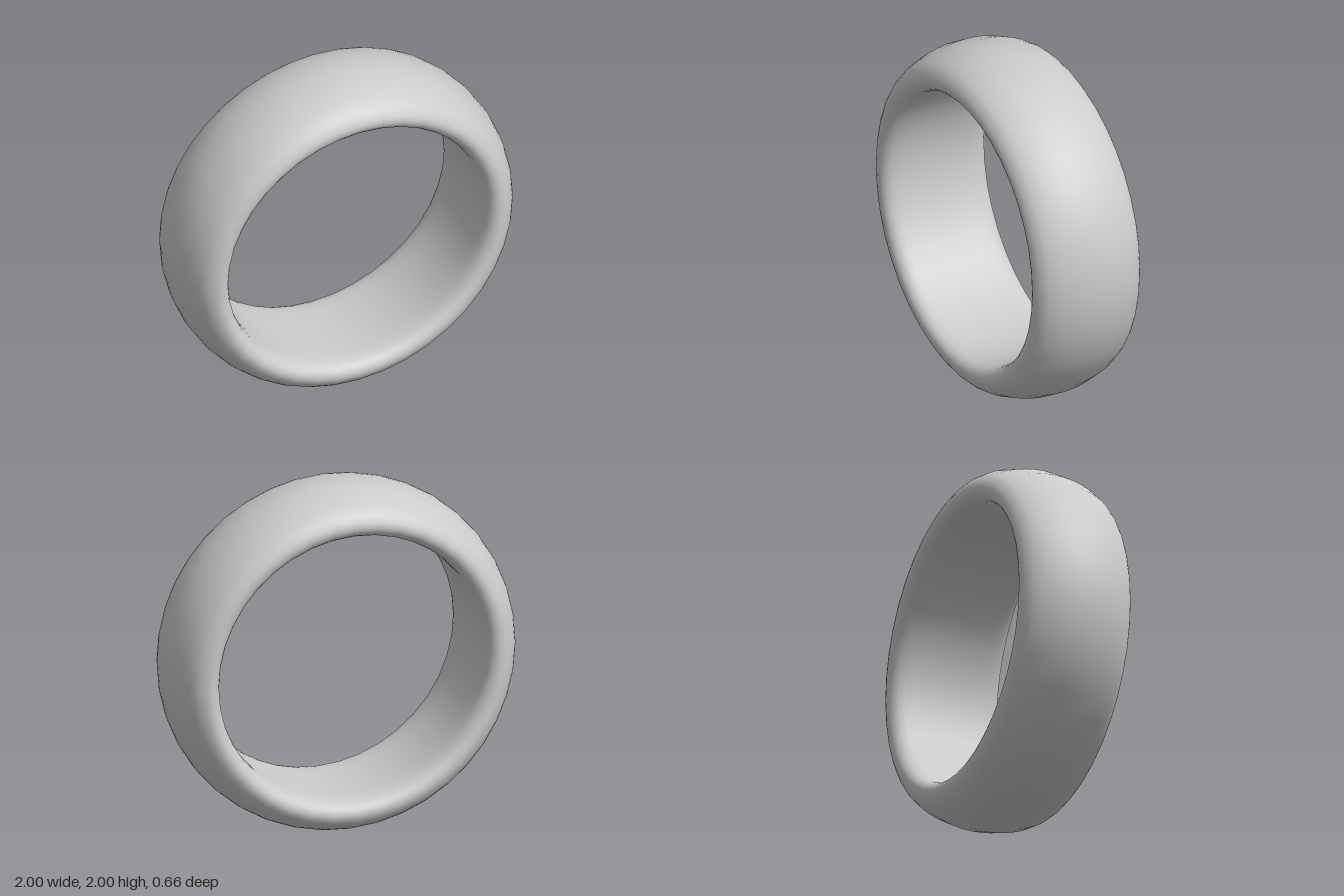
import * as THREE from 'three';

export function createModel() {
  const group = new THREE.Group();

  // Half of the band's cross-section (radius, depth), from inner middle to outer middle
  const half = [
    [0.77, 0], [0.77, -0.12], [0.772, -0.22], [0.782, -0.285], [0.81, -0.32],
    [0.85, -0.33], [0.89, -0.312], [0.925, -0.28], [0.962, -0.21], [0.99, -0.11], [1, 0],
  ];
  // Mirror it to close the loop, and smooth it
  const mirrored = half.slice(1, -1).reverse().map(([r, z]) => [r, -z]);
  const loop = [...half, ...mirrored].map(([r, z]) => new THREE.Vector3(r, z, 0));
  const profile = new THREE.CatmullRomCurve3(loop, true)
    .getPoints(40)
    .map((p) => new THREE.Vector2(p.x, p.y));

  // Revolve the section, then stand the ring up facing the front
  const geometry = new THREE.LatheGeometry(profile, 40);
  geometry.rotateX(Math.PI / 2);
  geometry.translate(0, 1, 0);

  const band = new THREE.Mesh(geometry, new THREE.MeshStandardMaterial({ color: 0xcccccc }));
  band.name = 'ringBand';
  group.add(band);
  return group;
}
